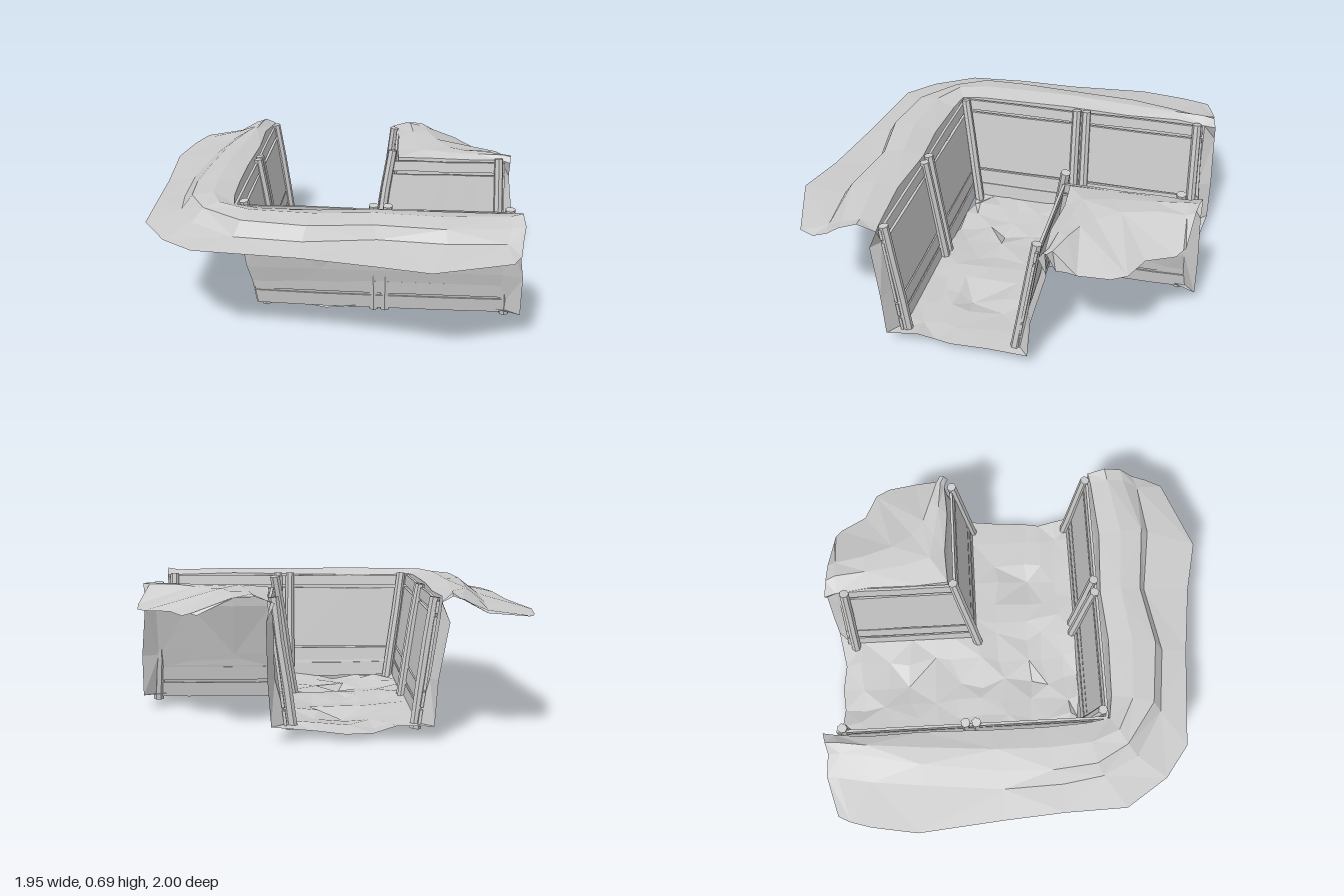
import * as THREE from 'three';

const earth = new THREE.MeshStandardMaterial({ color: 0xcccccc, flatShading: true, side: THREE.DoubleSide });
const wood = new THREE.MeshStandardMaterial({ color: 0xcccccc, flatShading: true });

// Repeatable noise in -1..1
const noise = (i, j = 0) => {
  const s = Math.sin(i * 127.1 + j * 311.7 + 4.3) * 43758.5453;
  return (s - Math.floor(s)) * 2 - 1;
};

// Sheet through rows of points; keep(row, column) can leave cells open
function sheet(name, rows, keep = () => true) {
  const n = rows[0].length, index = [];
  for (let r = 0; r < rows.length - 1; r++) {
    for (let c = 0; c < n - 1; c++) {
      if (!keep(r, c)) continue;
      const a = r * n + c, b = a + 1, d = a + n, e = d + 1;
      if ((r + c) % 2) index.push(a, d, b, b, d, e);
      else index.push(a, d, e, a, e, b);
    }
  }
  const geo = new THREE.BufferGeometry();
  geo.setAttribute('position', new THREE.Float32BufferAttribute(rows.flat(2), 3));
  geo.setIndex(index);
  geo.computeVertexNormals();
  const mesh = new THREE.Mesh(geo, earth);
  mesh.name = name;
  return mesh;
}

// Bank lofted from the foot of the trench wall over the rim to the outer edge.
// Each station holds x,z pairs: rim, then lines further outward at the given heights.
// The wall tucks in under the boards, and flares outward at both open ends.
function bank(name, stations, corner, foot, heights, side) {
  const last = stations.length - 1;
  const footRow = [], midRow = [], lipRow = [], rimRow = [], shoulder = [];
  const outer = heights.map(() => []);
  stations.forEach((s, i) => {
    const [rx, rz, cx, cz] = s;
    const onX = i <= corner ? side : 0, onZ = i >= corner ? -side : 0;
    const end = i === 0 || i === last;
    const fx = i <= corner ? foot[0] : i === last ? 0.97 : rx;
    const fz = i >= corner ? foot[1] : i === 0 ? -1 : rz;
    const footOut = end ? 0.07 : 0, midOut = end ? 0.085 : 0.052 + 0.005 * noise(i, 3), lipOut = end ? 0.04 : -0.01;
    footRow.push([fx + onX * footOut, 0.07, fz + onZ * footOut]);
    midRow.push([fx + onX * midOut, 0.28, fz + onZ * midOut]);
    lipRow.push([rx + onX * lipOut, 0.54, rz + onZ * lipOut]);
    rimRow.push([rx, 0.635 + 0.008 * noise(i, 2), rz]);
    shoulder.push([(rx + cx) / 2, 0.662 + 0.007 * noise(i, 5), (rz + cz) / 2]);
    heights.forEach((y, k) => outer[k].push([s[2 + 2 * k], y + 0.008 * noise(i, k + 7), s[3 + 2 * k]]));
  });
  return sheet(name, [footRow, midRow, lipRow, rimRow, shoulder, ...outer]);
}

// Uneven L-shaped floor with hollows along the middle of the trench
function floor() {
  const xs = [-0.375, -0.27, -0.16, -0.05, 0.09, 0.22, 0.33, 0.44, 0.56, 0.69, 0.82, 0.94];
  const zs = [-0.97, -0.86, -0.73, -0.58, -0.46, -0.34, -0.21, -0.08, 0.1, 0.18, 0.27, 0.355];
  const rows = zs.map((z, r) => xs.map((x, c) => {
    const armA = Math.min(x + 0.375, 0.22 - x), armB = Math.min(z + 0.21, 0.355 - z);
    const inside = Math.max(armA, armB);
    if (inside < 0.01) {
      // Edges widen to meet the flared wall ends
      if (r === 0) return [x + (c === 0 ? -0.07 : 0.07), 0.07, -1];
      if (c === xs.length - 1) return [0.97, 0.07, z + (r === 6 ? -0.07 : 0.07)];
      return [x, 0.07, z];
    }
    const move = r === 0 || c === xs.length - 1 ? 0.012 : 0.03;
    const y = Math.max(0.01, 0.065 - inside * 0.1 + 0.015 * noise(r, c));
    return [x + move * noise(c, r + 20), y, z + move * noise(c + 30, r)];
  }));
  rows[8][3][1] = 0;
  rows[3][3][1] = 0.01;
  rows[8][8][1] = 0.01;
  return sheet('trenchFloor', rows, (r, c) => !(c >= 5 && r < 6));
}

// Plank wall: boards stretched over the leaning quad between a foot line and a top line
function plankWall(name, a0, b0, a1, b1) {
  const group = new THREE.Group();
  group.name = name;
  const dir = new THREE.Vector2(b0[0] - a0[0], b0[1] - a0[1]).normalize();
  const spans = [[0.055, 0.13], [0.142, 0.212], [0.224, 0.56], [0.575, 0.63]];
  spans.forEach(([y0, y1], i) => {
    const geo = new THREE.BoxGeometry(1, 1, 1, 4, 1, 1), p = geo.attributes.position;
    for (let k = 0; k < p.count; k++) {
      const s = p.getX(k) + 0.5, n = p.getZ(k) * 0.014;
      const y = THREE.MathUtils.lerp(y0, y1, p.getY(k) + 0.5) + 0.004 * noise(Math.round(s * 4), i);
      const t = (y - 0.055) / 0.575;
      const at = (q) => THREE.MathUtils.lerp(
        THREE.MathUtils.lerp(a0[q], b0[q], s), THREE.MathUtils.lerp(a1[q], b1[q], s), t);
      p.setXYZ(k, at(0) - dir.y * n, y, at(1) + dir.x * n);
    }
    geo.computeVertexNormals();
    const board = new THREE.Mesh(geo, wood);
    board.name = 'board';
    group.add(board);
  });
  return group;
}

// Rough round post between a foot and a top point
function post(x0, z0, x1, z1, top = 0.645, radius = 0.027) {
  const a = new THREE.Vector3(x0, 0.04, z0), b = new THREE.Vector3(x1, top, z1);
  const d = b.clone().sub(a);
  const geo = new THREE.CylinderGeometry(radius * 0.92, radius, d.length(), 7, 3);
  const p = geo.attributes.position;
  for (let k = 0; k < p.count; k++) {
    const ring = Math.round(p.getY(k) * 50);
    p.setX(k, p.getX(k) + 0.004 * noise(ring, Math.round(x0 * 50)));
  }
  const mesh = new THREE.Mesh(geo, wood);
  mesh.position.copy(a).add(b).multiplyScalar(0.5);
  mesh.quaternion.setFromUnitVectors(new THREE.Vector3(0, 1, 0), d.normalize());
  mesh.name = 'post';
  return mesh;
}

export function createModel() {
  const model = new THREE.Group();
  model.name = 'trenchCorner';
  model.add(floor());

  // Outer bank: rim, crest, mound foot, apron edge
  model.add(bank('outerBank', [
    [-0.47, -0.99, -0.58, -0.96, -0.68, -0.975, -0.88, -0.92],
    [-0.48, -0.93, -0.58, -0.9, -0.69, -0.92, -0.91, -0.86],
    [-0.5, -0.78, -0.6, -0.76, -0.72, -0.75, -0.94, -0.76],
    [-0.49, -0.5, -0.66, -0.5, -0.75, -0.5, -0.98, -0.53],
    [-0.5, -0.15, -0.71, -0.1, -0.79, -0.1, -0.94, -0.1],
    [-0.5, 0.12, -0.72, 0.15, -0.78, 0.2, -0.92, 0.2],
    [-0.49, 0.33, -0.7, 0.37, -0.75, 0.4, -0.91, 0.51],
    [-0.47, 0.45, -0.61, 0.53, -0.66, 0.58, -0.77, 0.72],
    [-0.35, 0.47, -0.4, 0.68, -0.43, 0.72, -0.61, 0.84],
    [-0.05, 0.48, -0.08, 0.72, -0.1, 0.76, -0.1, 0.89],
    [0.22, 0.46, 0.23, 0.67, 0.25, 0.7, 0.25, 0.94],
    [0.55, 0.48, 0.57, 0.71, 0.58, 0.75, 0.51, 1],
    [0.87, 0.46, 0.88, 0.64, 0.86, 0.72, 0.88, 0.86],
    [0.93, 0.45, 0.945, 0.63, 0.93, 0.7, 0.92, 0.78],
  ], 7, [-0.375, 0.355], [0.64, 0.58, 0.55], -1));

  // Inner bank: rim, crest, ragged edge
  model.add(bank('innerBank', [
    [0.27, -0.99, 0.44, -0.97, 0.62, -0.95],
    [0.29, -0.93, 0.46, -0.93, 0.65, -0.94],
    [0.31, -0.75, 0.48, -0.79, 0.69, -0.91],
    [0.31, -0.5, 0.53, -0.63, 0.76, -0.78],
    [0.32, -0.34, 0.6, -0.52, 0.89, -0.72],
    [0.5, -0.35, 0.68, -0.46, 0.93, -0.65],
    [0.72, -0.33, 0.79, -0.42, 0.95, -0.5],
    [0.89, -0.34, 0.91, -0.38, 0.94, -0.45],
    [0.94, -0.32, 0.945, -0.36, 0.93, -0.4],
  ], 4, [0.22, -0.21], [0.655, 0.57], 1));

  // Timber lining of the four wall faces
  model.add(
    plankWall('leftWall', [-0.38, -0.95], [-0.38, 0.36], [-0.465, -0.92], [-0.465, 0.44]),
    plankWall('frontWall', [-0.38, 0.36], [0.92, 0.36], [-0.465, 0.44], [0.91, 0.44]),
    plankWall('innerSideWall', [0.225, -0.95], [0.225, -0.215], [0.3, -0.92], [0.3, -0.305]),
    plankWall('innerFrontWall', [0.225, -0.215], [0.92, -0.215], [0.3, -0.305], [0.91, -0.305]),
  );

  // Posts: foot x,z then top x,z and top height
  const posts = new THREE.Group();
  posts.name = 'posts';
  [
    [-0.365, -0.905, -0.45, -0.89], [-0.365, -0.285, -0.455, -0.275], [-0.365, -0.225, -0.455, -0.22],
    [-0.34, 0.325, -0.43, 0.42], [0.225, 0.34, 0.22, 0.43], [0.28, 0.34, 0.285, 0.43],
    [0.89, 0.34, 0.885, 0.43], [0.2, -0.905, 0.28, -0.885],
    [0.195, -0.2, 0.285, -0.31, 0.69], [0.9, -0.205, 0.87, -0.3, 0.66],
  ].forEach((p) => posts.add(post(...p)));
  model.add(posts);
  return model;
}
